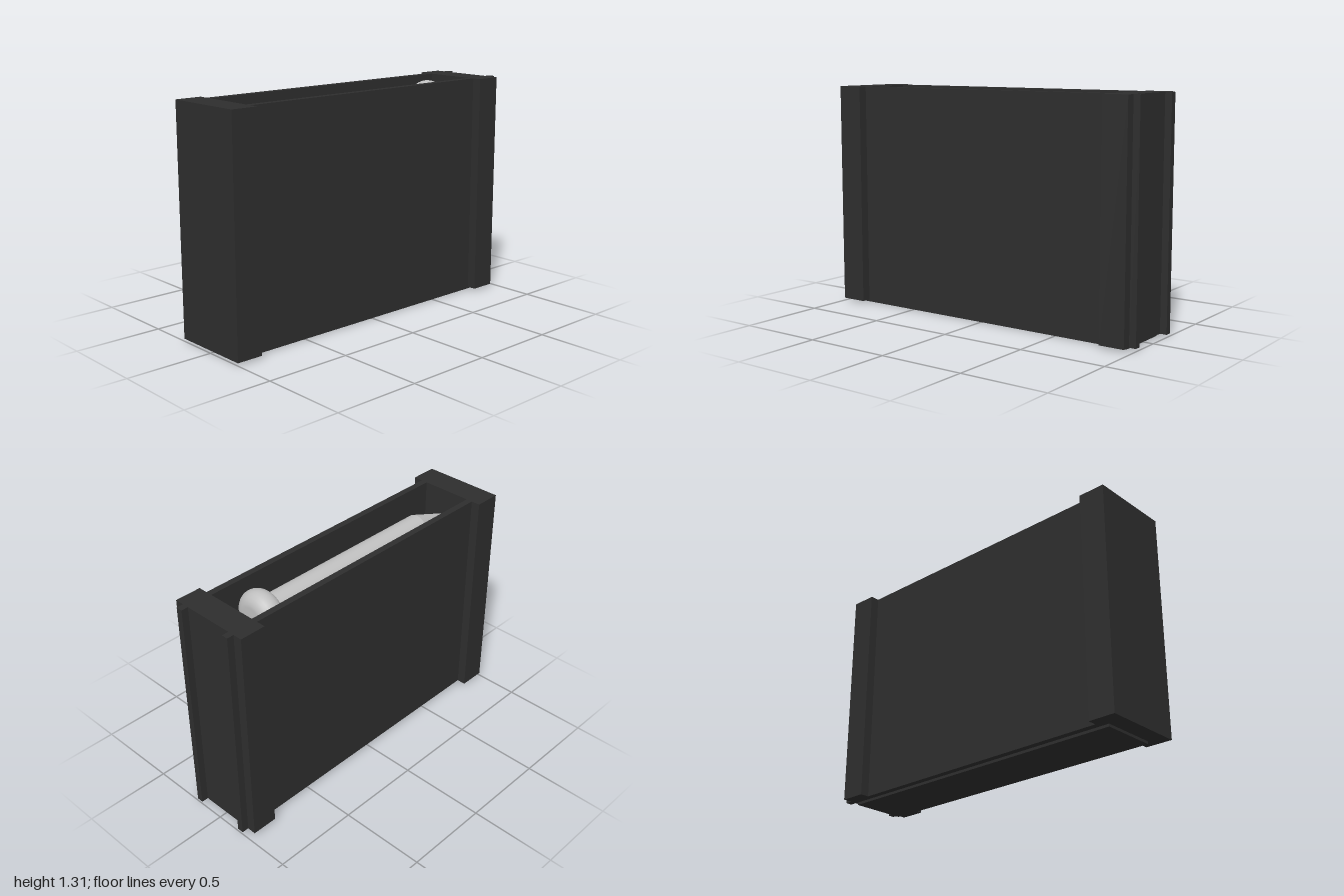
import * as THREE from 'three';

const TOP = 1.31, BOTTOM = 0.015;

export function createModel() {
  const model = new THREE.Group();
  const casing = new THREE.MeshStandardMaterial({ color: 0x2e2e2e });
  casing.name = 'charcoal casing';
  const metal = new THREE.MeshStandardMaterial({ color: 0xc0c0c0 });
  metal.name = 'pale metal';

  // Box given by its extents on each axis
  const box = (name, [x0, x1], [y0, y1], [z0, z1]) => {
    const mesh = new THREE.Mesh(new THREE.BoxGeometry(x1 - x0, y1 - y0, z1 - z0), casing);
    mesh.position.set((x0 + x1) / 2, (y0 + y1) / 2, (z0 + z1) / 2);
    mesh.name = name;
    model.add(mesh);
  };

  // Open-topped case: end blocks, side walls running out past the back, floor
  box('frontBlock', [-0.24, 0.24], [BOTTOM, TOP], [0.845, 1]);
  box('backBlock', [-0.24, 0.24], [BOTTOM, TOP], [-0.96, -0.81]);
  box('rightWall', [-0.187, -0.15], [BOTTOM, TOP], [-0.81, 0.845]);
  box('leftWall', [0.15, 0.187], [BOTTOM, TOP], [-0.81, 0.845]);
  box('rightRail', [-0.187, -0.15], [BOTTOM, TOP], [-1, -0.96]);
  box('leftRail', [0.15, 0.187], [BOTTOM, TOP], [-1, -0.96]);
  box('floorPlate', [-0.15, 0.175], [0, 0.03], [-0.94, 0.9]);

  // Spike lying along z just below the rim
  const spike = new THREE.Group();
  spike.name = 'spike';
  spike.position.set(0.01, 1.16, 0);
  spike.rotation.x = Math.PI / 2; // local y becomes world z
  model.add(spike);
  const turned = (name, geometry, y = 0) => {
    const mesh = new THREE.Mesh(geometry, metal);
    mesh.name = name;
    mesh.position.y = y;
    spike.add(mesh);
  };

  // Rounded head
  const profile = [new THREE.Vector2(0, -0.68)];
  for (let i = 0; i <= 12; i++) {
    const a = -Math.PI / 2 + (Math.PI * i) / 12;
    profile.push(new THREE.Vector2(0.068 + 0.072 * Math.cos(a), -0.608 + 0.072 * Math.sin(a)));
  }
  profile.push(new THREE.Vector2(0, -0.536));
  turned('spikeHead', new THREE.LatheGeometry(profile, 40));
  turned('spikeShaft', new THREE.CylinderGeometry(0.08, 0.08, 1.16, 32), 0.02);
  turned('spikeTip', new THREE.ConeGeometry(0.08, 0.24, 32), 0.72);

  return model;
}
